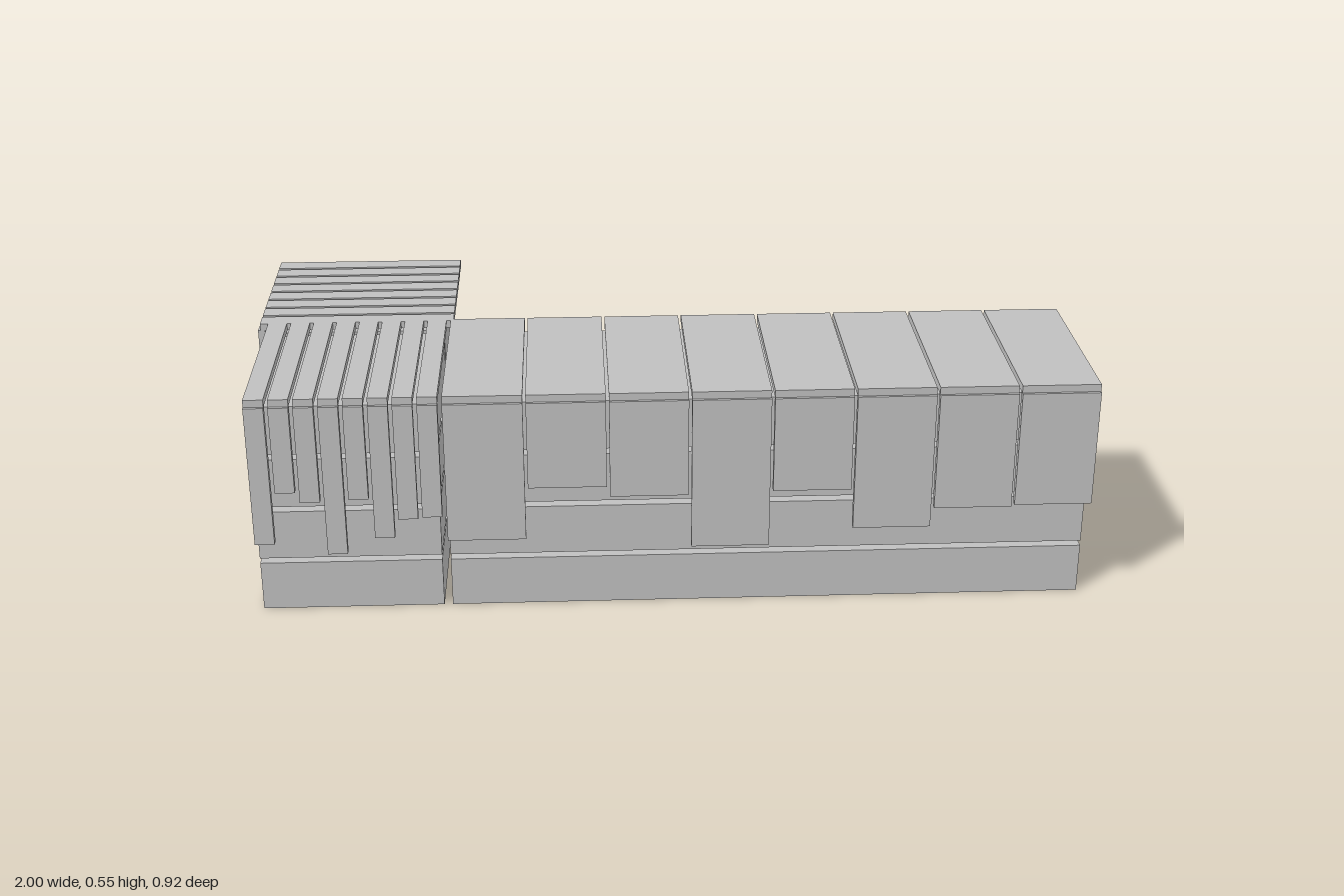
import * as THREE from 'three';

export function createModel() {
  const model = new THREE.Group();
  model.name = 'slattedCounter';
  const grey = new THREE.MeshStandardMaterial({ color: 0xc0c0c0 });
  grey.name = 'grey';

  // Box given by its two extreme corners
  function box(parent, name, [x0, y0, z0], [x1, y1, z1]) {
    const mesh = new THREE.Mesh(new THREE.BoxGeometry(x1 - x0, y1 - y0, z1 - z0), grey);
    mesh.position.set((x0 + x1) / 2, (y0 + y1) / 2, (z0 + z1) / 2);
    mesh.name = name;
    parent.add(mesh);
  }

  function group(name) {
    const g = new THREE.Group();
    g.name = name;
    model.add(g);
    return g;
  }

  // Three bodies, each a stack of four separated blocks: x0, x1, z0, z1
  const bodies = {
    longBody: [-0.52, 0.99, -0.002, 0.429],
    cornerBody: [-0.97, -0.54, -0.002, 0.429],
    backBody: [-0.97, -0.54, -0.452, -0.021],
  };
  for (const [name, [x0, x1, z0, z1]] of Object.entries(bodies)) {
    const body = group(name);
    for (let i = 0; i < 4; i++) {
      const y = i * 0.135;
      box(body, 'block', [x0, y, z0], [x1, y + 0.122, z1]);
    }
  }

  // Planks lie on top and fold down in flaps of uneven length
  const under = 0.536, top = 0.554;
  const flapEnds = [0.187, 0.32, 0.294, 0.158, 0.3, 0.198, 0.246, 0.25];
  const longPlanks = group('longPlanks');
  const cornerPlanks = group('cornerPlanks');
  const backPlanks = group('backPlanks');
  flapEnds.forEach((end, i) => {
    // Wide planks and narrow corner planks fold over the front
    for (const [g, start, pitch, width, back] of [
      [longPlanks, -0.523, 0.1912, 0.184, -0.027],
      [cornerPlanks, -0.974, 0.0563, 0.0465, -0.022],
    ]) {
      const x = start + i * pitch;
      box(g, 'plank', [x, under, back], [x + width, top, 0.452]);
      box(g, 'flap', [x, end, 0.442], [x + width, under, 0.459]);
    }
    // Back planks fold over the outer side
    const z = -0.458 + i * 0.0563;
    box(backPlanks, 'plank', [-0.994, under, z], [-0.516, top, z + 0.0465]);
    box(backPlanks, 'flap', [-1, end, z], [-0.983, under, z + 0.0465]);
  });

  return model;
}
